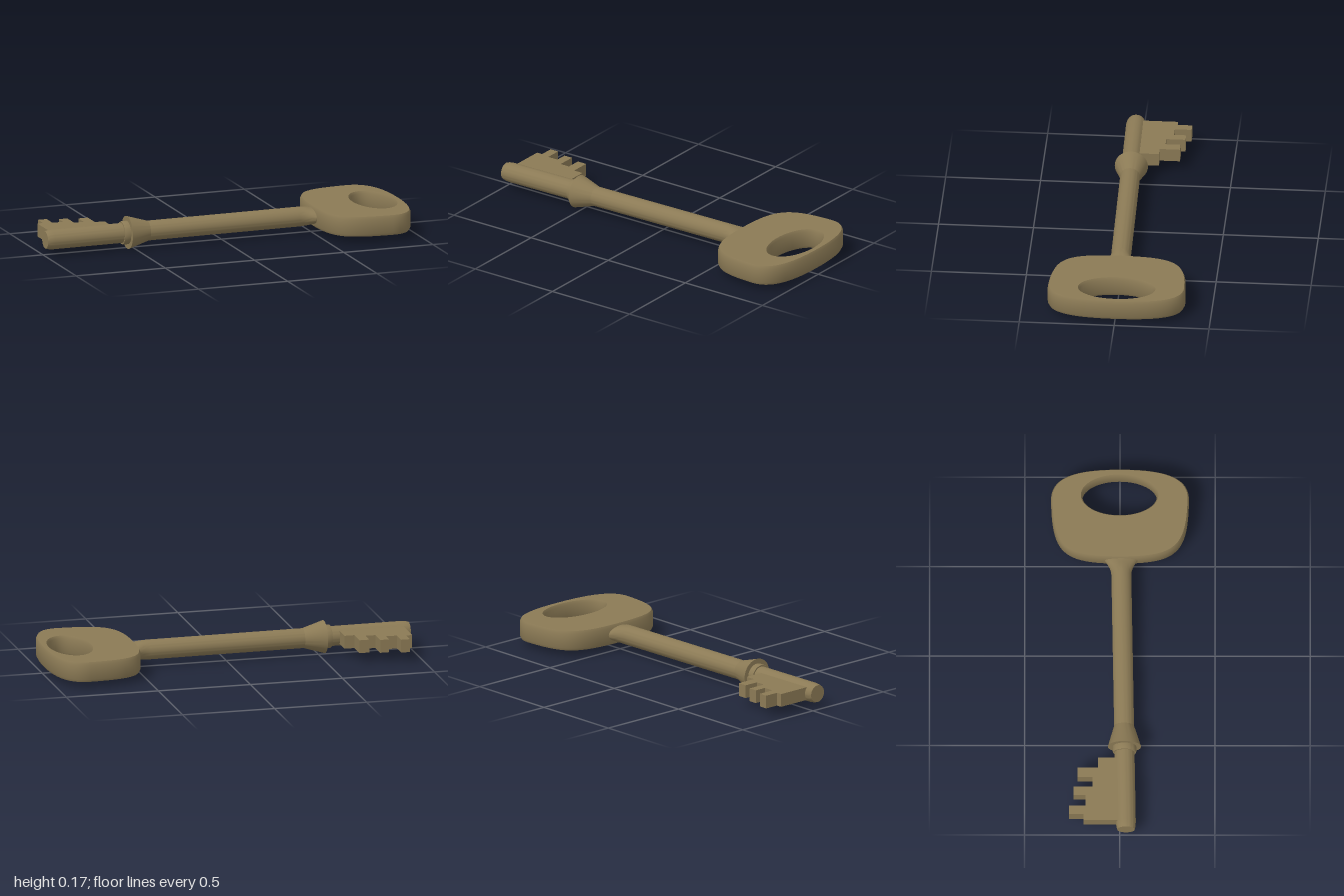
import * as THREE from 'three';
import { toCreasedNormals } from 'three/addons/utils/BufferGeometryUtils.js';

const AXIS_Y = 0.0875;

// Extrude an outline drawn in (x, -z) to a flat plate centred on the shaft height
function plate(shape, thickness, bevel) {
  const depth = thickness - 2 * (bevel ? 0.014 : 0);
  const geo = new THREE.ExtrudeGeometry(shape, {
    depth, curveSegments: 28, bevelEnabled: bevel, bevelSegments: 1,
    bevelThickness: 0.014, bevelSize: 0.007, bevelOffset: -0.007,
  });
  geo.translate(0, 0, -depth / 2);
  geo.rotateX(-Math.PI / 2);
  geo.translate(0, AXIS_Y, 0);
  return toCreasedNormals(geo, 0.6);
}

// Turn a [x, radius] profile round the slightly slanted shaft axis
function turned(profile) {
  const geo = new THREE.LatheGeometry(profile.map(([x, r]) => new THREE.Vector2(r, x)), 40);
  geo.rotateZ(-Math.PI / 2);
  const p = geo.attributes.position;
  for (let i = 0; i < p.count; i++) {
    const x = p.getX(i);
    // Flare out sideways and flatten where the shaft meets the bow
    const t = THREE.MathUtils.clamp((x - 0.42) / 0.08, 0, 1) ** 2;
    p.setY(i, AXIS_Y + p.getY(i) * (1 - 0.2 * t));
    p.setZ(i, p.getZ(i) * (1 + 0.63 * t) + 0.015 - 0.018 * x);
  }
  return toCreasedNormals(geo, 0.5);
}

export function createModel() {
  const key = new THREE.Group();
  key.name = 'key';
  const brass = new THREE.MeshStandardMaterial({ color: 0x8b7a55 });
  brass.name = 'aged brass';
  const add = (name, geo) => {
    const mesh = new THREE.Mesh(geo, brass);
    mesh.name = name;
    key.add(mesh);
  };

  // Shaft with a softened tip and flared root
  add('shaft', turned([
    [-1, 0], [-1, 0.046], [-0.985, 0.05], [-0.96, 0.0525], [0.42, 0.0525],
    [0.44, 0.0525], [0.46, 0.0525], [0.48, 0.0525], [0.5, 0.0525], [0.525, 0.0525], [0.525, 0],
  ]));

  // Tapered collar with a narrow ring in front of it
  add('collar', turned([
    [-0.57, 0.04], [-0.57, 0.06], [-0.565, 0.062], [-0.537, 0.062],
    [-0.537, 0.0875], [-0.422, 0.0525], [-0.415, 0.04],
  ]));

  // Bow: rounded plate with an oval hole
  const bow = new THREE.Shape();
  bow.moveTo(0.5, 0);
  bow.bezierCurveTo(0.5, -0.3, 0.56, -0.355, 0.83, -0.362);
  bow.bezierCurveTo(0.96, -0.362, 0.997, -0.22, 0.997, 0);
  bow.bezierCurveTo(0.997, 0.22, 0.96, 0.362, 0.83, 0.362);
  bow.bezierCurveTo(0.56, 0.355, 0.5, 0.3, 0.5, 0);
  const hole = new THREE.Path();
  hole.absellipse(0.85, 0.002, 0.108, 0.197, 0, Math.PI * 2, true);
  bow.holes.push(hole);
  add('bow', plate(bow, 0.107, true));

  // Bit: stepped teeth, listed as [start x, end x, reach]
  const teeth = [
    [-0.96, -0.928, 0.19], [-0.928, -0.88, 0.267], [-0.88, -0.821, 0.179], [-0.821, -0.773, 0.243],
    [-0.773, -0.719, 0.142], [-0.719, -0.666, 0.222], [-0.666, -0.612, 0.115],
  ];
  const bit = new THREE.Shape();
  bit.moveTo(-0.612, -0.03);
  bit.lineTo(-0.96, -0.03);
  for (const [x0, x1, reach] of teeth) bit.lineTo(x0, reach).lineTo(x1, reach);
  bit.closePath();
  add('bit', plate(bit, 0.07, false));

  return key;
}
